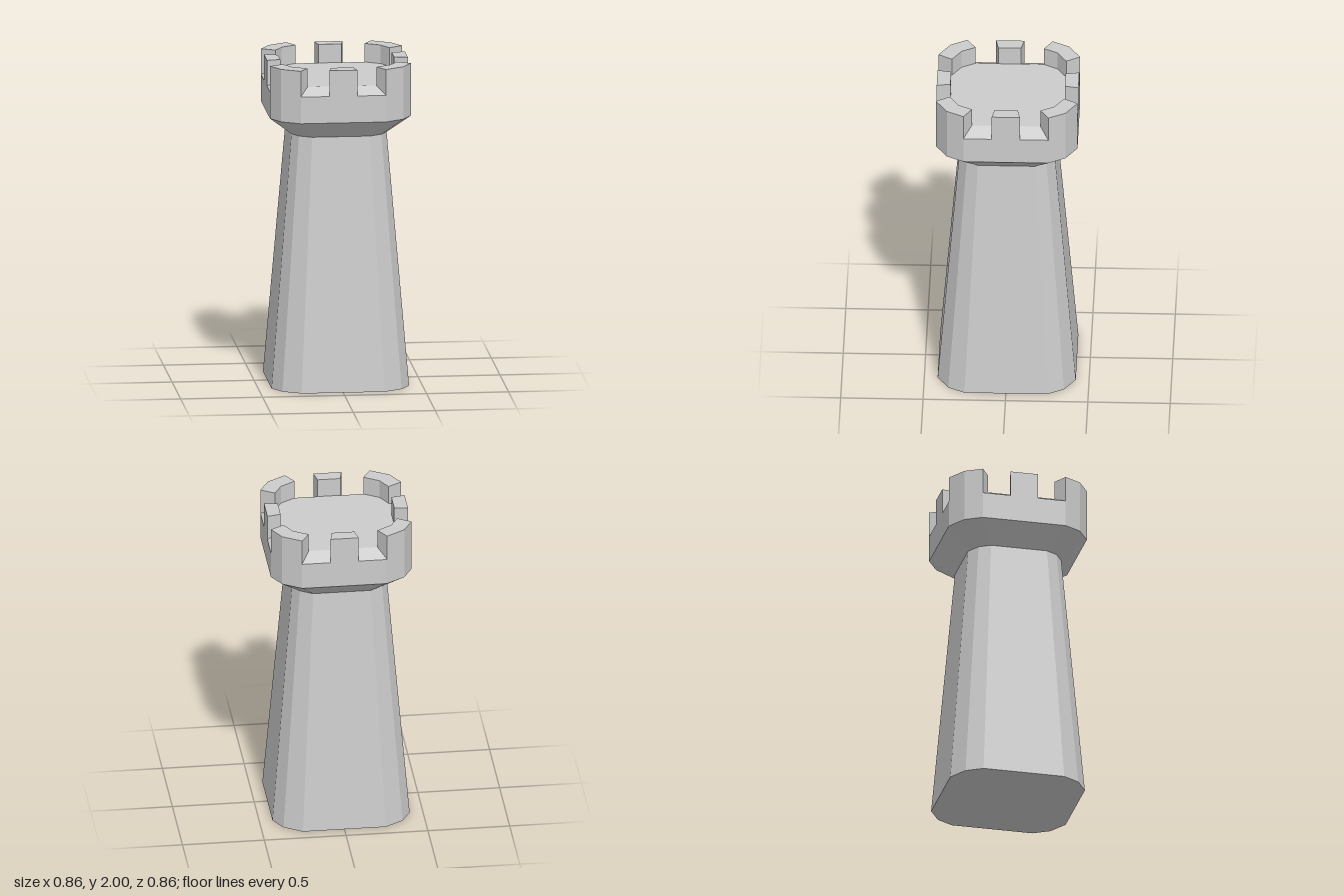
import * as THREE from 'three';

// One corner of the plan outline, in the +x +z quadrant
const CORNER = [[0.43, 0.258], [0.373, 0.36], [0.26, 0.43]];
const INNER = 0.807; // inner parapet line relative to the outer one
const WALL_TOP = 1.84, DECK = 1.885, TOP = 2;

// Full twelve-sided outline, running from +x towards +z
const flip = (sx, sz) => CORNER.map(([x, z]) => [x * sx, z * sz]);
const OUTLINE = [
  ...flip(1, 1), ...flip(-1, 1).reverse(),
  ...flip(-1, -1), ...flip(1, -1).reverse(),
];

// Faceted skin through scaled outlines [scale, y], bottom to top; scale 0 closes an end
function loft(levels) {
  const pos = [];
  const n = OUTLINE.length;
  const at = ([s, y], i) => [OUTLINE[i % n][0] * s, y, OUTLINE[i % n][1] * s];
  for (let k = 0; k < levels.length - 1; k++) {
    const lo = levels[k], hi = levels[k + 1];
    for (let i = 0; i < n; i++) {
      const a = at(lo, i), b = at(lo, i + 1), c = at(hi, i + 1), d = at(hi, i);
      if (lo[0] > 0) pos.push(...a, ...c, ...b);
      if (hi[0] > 0) pos.push(...a, ...d, ...c);
    }
  }
  const geo = new THREE.BufferGeometry();
  geo.setAttribute('position', new THREE.Float32BufferAttribute(pos, 3));
  geo.computeVertexNormals();
  return geo;
}

// Upright block from a plan polygon of [x, z] points
function block(points) {
  const shape = new THREE.Shape(points.map(([x, z]) => new THREE.Vector2(x, -z)));
  const geo = new THREE.ExtrudeGeometry(shape, { depth: TOP - WALL_TOP, bevelEnabled: false });
  return geo.rotateX(-Math.PI / 2).translate(0, WALL_TOP, 0);
}

export function createModel() {
  const tower = new THREE.Group();
  tower.name = 'tower';
  const stone = new THREE.MeshStandardMaterial({ color: 0xcccccc, flatShading: true });
  const add = (name, geo) => {
    const mesh = new THREE.Mesh(geo, stone);
    mesh.name = name;
    tower.add(mesh);
    return mesh;
  };

  // Tapered shaft with closed base
  add('shaft', loft([[0, 0], [0.975, 0], [0.675, 1.56]]));

  // Flared collar, parapet wall, sloping sills and flat deck
  add('crown', loft([[0.675, 1.56], [1, 1.675], [1, WALL_TOP], [INNER, DECK], [0, DECK]]));

  // Corner merlons follow the chamfered outline
  for (const sx of [1, -1]) for (const sz of [1, -1]) {
    const outer = flip(sx, sz);
    const inner = outer.map(([x, z]) => [x * INNER, z * INNER]).reverse();
    add('cornerMerlon', block([...outer, ...inner]));
  }

  // One wedge-shaped merlon in the middle of each side
  for (let i = 0; i < 4; i++) {
    const w = 0.086, r = 0.43;
    const geo = block([[-w, r], [w, r], [w * INNER, r * INNER], [-w * INNER, r * INNER]]);
    add('sideMerlon', geo).rotation.y = i * Math.PI / 2;
  }
  return tower;
}
